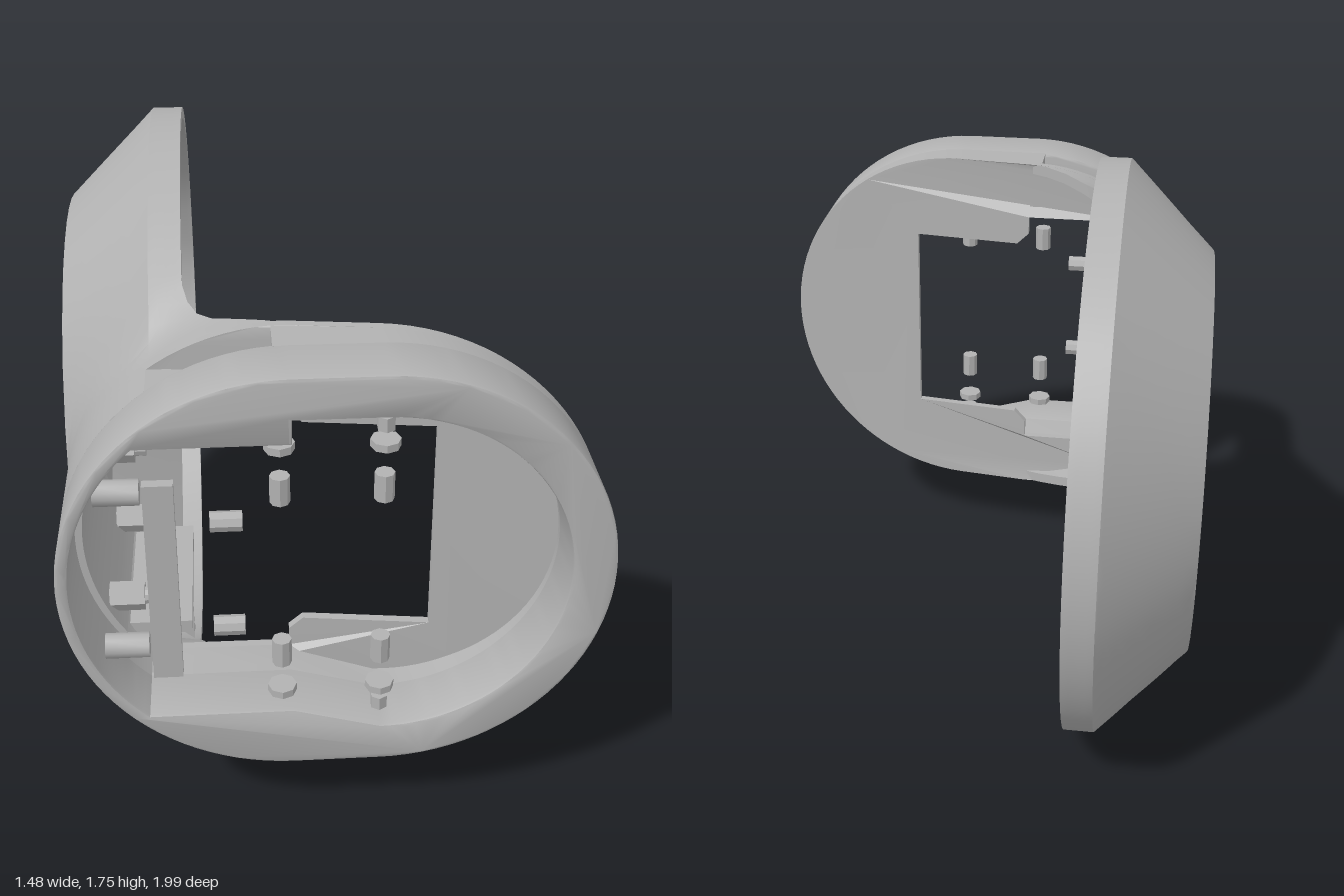
import * as THREE from 'three';
import { toCreasedNormals } from 'three/addons/utils/BufferGeometryUtils.js';

const MID = 0.877; // height of the symmetry plane
const DISH_Z = -0.127; // centre of the dish
const grey = new THREE.MeshStandardMaterial({ color: 0xb2b2b2, side: THREE.DoubleSide });
grey.name = 'plainGrey';

export function createModel() {
  const model = new THREE.Group();
  const add = (name, geometry, x = 0, y = 0, z = 0) => {
    const mesh = new THREE.Mesh(geometry, grey);
    mesh.name = name;
    mesh.position.set(x, MID + y, z);
    model.add(mesh);
  };
  const box = (name, x0, x1, y0, y1, z0, z1) =>
    add(name, new THREE.BoxGeometry(x1 - x0, y1 - y0, z1 - z0), (x0 + x1) / 2, (y0 + y1) / 2, (z0 + z1) / 2);
  const rod = (name, axis, r, length, x, y, z, sides = 16) => {
    const g = toCreasedNormals(new THREE.CylinderGeometry(r, r, length, sides), 0.6);
    if (axis === 'x') g.rotateZ(Math.PI / 2);
    add(name, g, x, y, z);
  };
  const plate = (points, depth) => new THREE.ExtrudeGeometry(
    new THREE.Shape(points.map(([x, y]) => new THREE.Vector2(x, y))), { depth, bevelEnabled: false });

  // Dished shell running into the neck, lofted along z
  add('dishShell', shellGeometry());

  // Front ring: back plate, notched middle band, rim with a softened edge
  const backZ = x => 0.68 + 0.125 * Math.max(0, x + 0.14);
  const plateTop = x => backZ(x) + 0.025;
  add('ringBackPlate', slab(outline(false), opening(true), backZ, plateTop));
  add('ringBand', slab(outline(true), opening(false), plateTop, x => Math.max(0.82, plateTop(x))));
  const rimShape = outline(false);
  rimShape.holes.push(opening(false));
  const rim = new THREE.ExtrudeGeometry(rimShape, {
    depth: 0.163, curveSegments: 24, bevelSize: 0.008, bevelThickness: 0.01, bevelOffset: -0.008, bevelSegments: 2,
  });
  add('ringRim', toCreasedNormals(rim, 0.5), 0, 0, 0.82);

  // Curved inner panel behind the ring
  const half = Math.asin(0.33 / 0.575);
  const arc = new THREE.Shape();
  arc.absarc(-0.12, 0, 0.585, Math.PI - half, Math.PI + half, false);
  arc.absarc(-0.12, 0, 0.565, Math.PI + half, Math.PI - half, true);
  add('innerPanel', toCreasedNormals(
    new THREE.ExtrudeGeometry(arc, { depth: 0.57, bevelEnabled: false, curveSegments: 12 }), 0.5), 0, 0, 0.18);

  // Mirrored ribs, shelves, screw bosses and pegs
  for (const s of [1, -1]) {
    const mirrored = points => points.map(([x, y]) => [x, y * s]);
    add('shelf', plate(mirrored([[-0.58, 0.35], [-0.4, 0.35], [-0.4, 0.39], [-0.56, 0.39]]), 0.48), 0, 0, 0.2);
    add('shelfRib', plate(mirrored([[-0.56, 0.39], [-0.4, 0.39], [-0.4, 0.53]]), 0.02), 0, 0, 0.52);
    add('wallRib', plate(mirrored([[-0.7, 0.33], [-0.7, 0.46], [-0.46, 0.75], [-0.41, 0.75], [-0.5, 0.33]]), 0.025), 0, 0, 0.2);
    for (const z of [0.29, 0.68]) {
      rod('screwBoss', 'x', 0.042, 0.1, -0.58, s * 0.25, z, 6);
      rod('screwTip', 'x', 0.025, 0.04, -0.52, s * 0.25, z, 10);
    }
    rod('sidePeg', 'x', 0.028, 0.085, -0.29, s * 0.17, 0.93, 8);
    for (const x of [-0.15, 0.12]) {
      rod('peg', 'y', 0.027, 0.08, x, s * 0.265, 0.93, 8);
      rod('pegCollar', 'y', 0.04, 0.022, x, s * 0.395, 0.93, 8);
    }
    rod('outerPeg', 'y', 0.025, 0.04, 0.12, s * 0.455, 0.93, 6);
    rod('barPost', 'x', 0.035, 0.12, -0.57, s * 0.25, 0.9, 12);
  }
  box('frontBar', -0.5, -0.42, -0.31, 0.31, 0.94, 0.97);

  // Fittings on the dish floor
  rod('centrePost', 'x', 0.14, 0.22, -0.6, 0, -0.13, 20);
  rod('smallPost', 'x', 0.05, 0.18, -0.62, 0.25, -0.27);
  rod('floorDisc', 'x', 0.07, 0.02, -0.695, -0.25, 0.02);
  const bracket = plate([[0.22, -0.3], [0.25, -0.2], [0.37, -0.05], [0.37, 0.08], [0.3, 0.2], [0.24, 0.3], [0.22, 0.3]], 0.06);
  bracket.rotateY(Math.PI / 2);
  add('postBracket', bracket, -0.7);

  return model;
}

// Stadium outline, optionally with the two pockets cut into top and bottom
function outline(notched) {
  const s = new THREE.Shape();
  const a = notched ? Math.PI - Math.asin(0.5 / 0.62) : Math.PI / 2;
  s.absarc(0.12, 0, 0.62, -Math.PI / 2, Math.PI / 2, false);
  if (notched) s.lineTo(-0.16, 0.619).lineTo(-0.16, 0.5);
  s.absarc(-0.12, 0, 0.62, a, 2 * Math.PI - a, false);
  if (notched) s.lineTo(-0.16, -0.5).lineTo(-0.16, -0.619);
  s.closePath();
  return s;
}

// Ring opening: wide in front, narrower with tabs in the back plate
function opening(narrow) {
  const p = new THREE.Path();
  const a = Math.PI - Math.asin(0.43 / 0.585);
  if (narrow) {
    p.moveTo(-0.12, -0.37).lineTo(-0.08, -0.33).lineTo(0.28, -0.33);
    p.lineTo(0.28, 0.33).lineTo(-0.08, 0.33).lineTo(-0.12, 0.37);
  } else {
    p.moveTo(-0.12, -0.5);
    p.absarc(0.12, 0, 0.5, -Math.PI / 2, Math.PI / 2, false);
    p.lineTo(-0.12, 0.5);
  }
  p.lineTo(-0.12, 0.43);
  p.absarc(-0.12, 0, 0.585, a, 2 * Math.PI - a, false);
  p.lineTo(-0.12, -0.43);
  p.closePath();
  return p;
}

// Extrusion whose back and front follow z as a function of x
function slab(shape, hole, back, front) {
  shape.holes.push(hole);
  const g = new THREE.ExtrudeGeometry(shape, { depth: 1, bevelEnabled: false, curveSegments: 24 });
  const p = g.attributes.position;
  for (let i = 0; i < p.count; i++) p.setZ(i, p.getZ(i) > 0.5 ? front(p.getX(i)) : back(p.getX(i)));
  return toCreasedNormals(g, 0.5);
}

// Each z slice is a U-shaped wall: a conical dish blended with the rounded neck
function shellGeometry() {
  const slices = [];
  for (let i = 0; i <= 22; i++) slices.push([DISH_Z - 0.873 * Math.cos(i * Math.PI / 30), -0.39]);
  // Extra slices where the flat floor begins
  for (const d of [0.612, 0.6, 0.585, 0.57]) slices.push([DISH_Z - d, -0.39]);
  slices.sort((a, b) => a[0] - b[0]);
  slices.push([0.48, -0.388], [0.52, -0.375], [0.56, -0.35], [0.6, -0.31], [0.64, -0.245], [0.67, -0.18], [0.69, -0.13]);

  const wall = (z, xe, floor, crease, r0, r1, neck) => {
    const d = Math.abs(z - DISH_Z);
    const slope = (r1 - r0) / (crease - floor);
    const start = z > 0 ? floor : Math.min(crease, floor + Math.max(0, d - r0) / slope);
    const height = x => {
      const r = Math.min(r1, r0 + (x - floor) * slope);
      const dish = Math.sqrt(Math.max(0, r * r - d * d));
      if (z <= 0) return dish;
      const c = Math.min(0, x + 0.12);
      const side = Math.sqrt(Math.max(0, neck * neck - c * c));
      const k = Math.min(0.1, dish, side) + 1e-6;
      const blend = Math.max(0, k - Math.abs(dish - side));
      return Math.max(dish, side) + blend * blend / (4 * k);
    };
    const pts = [];
    for (let i = 0; i <= 9; i++) pts.push(start + (crease - start) * (i / 9) ** 2);
    for (let i = 1; i <= 4; i++) pts.push(crease + (xe - crease) * i / 4);
    return pts.map(x => [x, height(x)]);
  };

  const pos = [], index = [];
  let n = 0;
  for (const [z, xe] of slices) {
    const outer = wall(z, xe, -0.74, -0.48, 0.612, 0.873, 0.62);
    const inner = wall(z, xe, -0.7, -0.46, 0.585, 0.84, 0.585);
    const flip = pts => pts.map(([x, y]) => [x, -y]);
    const loop = [...[...outer].reverse(), ...flip(outer), ...flip(inner).reverse(), ...inner];
    n = loop.length;
    for (const [x, y] of loop) pos.push(x, y, z);
  }
  for (let j = 0; j < slices.length - 1; j++) {
    for (let i = 0; i < n; i++) {
      const a = j * n + i, b = j * n + (i + 1) % n;
      index.push(a, b, b + n, a, b + n, a + n);
    }
  }
  const g = new THREE.BufferGeometry();
  g.setAttribute('position', new THREE.Float32BufferAttribute(pos, 3));
  g.setIndex(index);
  return toCreasedNormals(g, 0.45);
}
